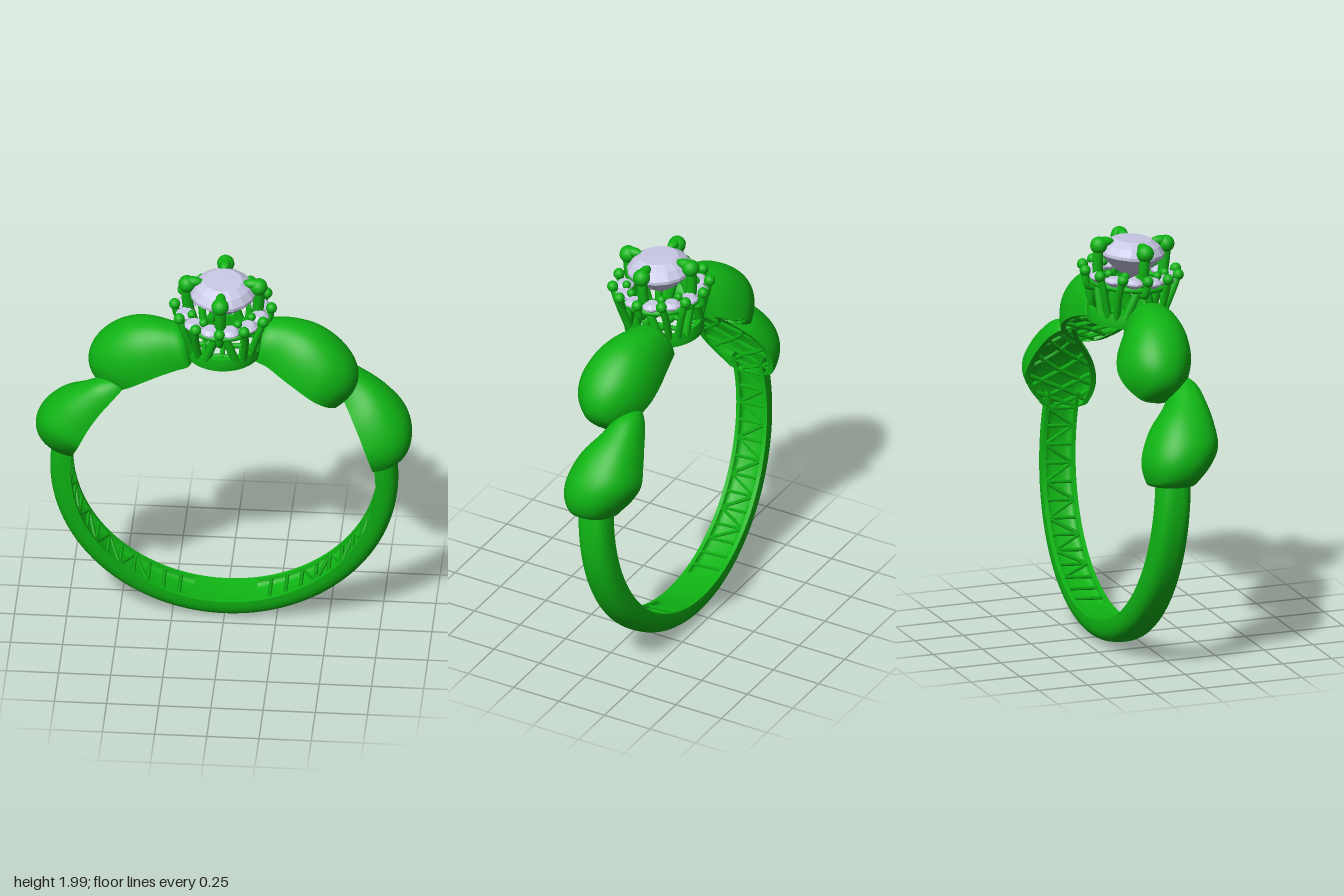
import * as THREE from 'three';
import { toCreasedNormals } from 'three/addons/utils/BufferGeometryUtils.js';

const metal = new THREE.MeshStandardMaterial({ color: 0x0fb414, side: THREE.DoubleSide });
const gem = new THREE.MeshStandardMaterial({ color: 0xc9c9e6, flatShading: true });
const CY = 0.84, RI = 0.73; // ring centre height and finger radius
const rad = THREE.MathUtils.degToRad;

// point on the ring: angle a (degrees from the top), radius r, sideways z
const onRing = (a, r, z) =>
  new THREE.Vector3(r * Math.sin(rad(a)), CY + r * Math.cos(rad(a)), z);
// point around the head axis
const onHead = (a, r, y) =>
  new THREE.Vector3(r * Math.sin(rad(a)), y, r * Math.cos(rad(a)));

function add(parent, name, geometry, material = metal) {
  const mesh = new THREE.Mesh(geometry, material);
  mesh.name = name;
  parent.add(mesh);
  return mesh;
}

function bar(parent, name, points, radius, sides = 8) {
  const curve = new THREE.CatmullRomCurve3(points);
  return add(parent, name, new THREE.TubeGeometry(curve, points.length * 3, radius, sides));
}

function ball(parent, name, position, radius) {
  const mesh = add(parent, name, new THREE.SphereGeometry(radius, 14, 10));
  mesh.position.copy(position);
  return mesh;
}

// smooth sampler through rows of [angle, half width, height, sideways centre]
function profile(rows) {
  const main = new THREE.CatmullRomCurve3(
    rows.map(([a, w, h]) => new THREE.Vector3(a, w, h)), false, 'catmullrom', 0.5);
  const side = new THREE.CatmullRomCurve3(
    rows.map((r) => new THREE.Vector3(r[3], 0, 0)), false, 'catmullrom', 0.5);
  return (t) => {
    const p = main.getPoint(t);
    return { a: p.x, w: Math.max(0, p.y), h: Math.max(0, p.z), z: side.getPoint(t).x };
  };
}

// domed shell along the ring, hollowed from the finger side
function shell(at, steps, power, depth, wall) {
  const N = 28, M = 12, loop = N + M + 2, pos = [], idx = [];
  for (let i = 0; i <= steps; i++) {
    const { a, w, h, z } = at(i / steps);
    const ring = (s, ww, hh, p) => {
      const c = Math.cos(s), n = Math.sin(s);
      const v = onRing(a, RI + hh * Math.pow(Math.abs(n), p),
        z + ww * Math.sign(c) * Math.pow(Math.abs(c), p));
      pos.push(v.x, v.y, v.z);
    };
    for (let j = 0; j <= N; j++) ring(Math.PI * j / N, w, h, power);
    const wi = Math.max(w - wall, w * 0.5), hi = Math.min(depth, h * 0.6);
    for (let j = M; j >= 0; j--) ring(Math.PI * j / M, wi, hi, 0.6);
  }
  for (let i = 0; i < steps; i++) {
    for (let j = 0; j < loop; j++) {
      const k = (j + 1) % loop, p = i * loop, q = p + loop;
      idx.push(p + j, q + j, p + k, q + j, q + k, p + k);
    }
  }
  const g = new THREE.BufferGeometry();
  g.setAttribute('position', new THREE.Float32BufferAttribute(pos, 3));
  g.setIndex(idx);
  return toCreasedNormals(g, 0.7);
}

// lattice bar on the finger side, from (t0, u0) to (t1, u1), u across the width
function latticeBar(parent, at, t0, u0, t1, u1, radius) {
  const points = [];
  for (let i = 0; i <= 4; i++) {
    const f = i / 4, s = at(t0 + (t1 - t0) * f);
    const u = u0 + (u1 - u0) * f;
    points.push(onRing(s.a, RI + radius, s.z + u * Math.max(0, s.w - 0.015)));
  }
  bar(parent, 'latticeBar', points, radius, 4);
}

const upperDrop = [
  [11, 0, 0, -0.035], [12, 0.1, 0.14, -0.035], [17, 0.125, 0.19, -0.03],
  [23, 0.155, 0.225, -0.01], [29, 0.175, 0.242, 0.005], [36, 0.18, 0.235, 0.02],
  [42, 0.155, 0.21, 0.028], [46.5, 0.112, 0.165, 0.03], [49, 0.07, 0.1, 0.03],
  [50, 0, 0, 0.03],
];
const lowerDrop = [
  [39, 0, 0, -0.1], [41, 0.04, 0.05, -0.1], [46, 0.075, 0.1, -0.1],
  [52, 0.105, 0.132, -0.09], [60, 0.155, 0.178, -0.06], [68, 0.182, 0.21, -0.04],
  [74, 0.168, 0.206, -0.015], [79, 0.132, 0.168, 0.005], [81.5, 0.1, 0.11, 0.01],
  [82.5, 0, 0, 0.01],
];
const shankRows = [
  [76, 0.082, 0.103, 0], [130, 0.089, 0.104, 0], [180, 0.095, 0.104, 0],
  [230, 0.089, 0.104, 0], [284, 0.082, 0.103, 0],
];

function drop(parent, name, rows) {
  const g = new THREE.Group(), at = profile(rows);
  g.name = name;
  add(g, 'dropShell', shell(at, 48, 0.9, 0.06, 0.028));
  for (let i = 0; i < 5; i++) {
    const t = 0.12 + i * 0.145;
    latticeBar(g, at, t, -1, t + 0.24, 1, 0.011);
    latticeBar(g, at, t, 1, t + 0.24, -1, 0.011);
  }
  parent.add(g);
}

function buildHead() {
  const head = new THREE.Group();
  head.name = 'head';

  // base collar with a grid across its opening
  const collar = [[0.162, 1.57], [0.188, 1.57], [0.192, 1.6], [0.186, 1.635], [0.164, 1.635], [0.162, 1.57]];
  add(head, 'baseCollar', toCreasedNormals(
    new THREE.LatheGeometry(collar.map((p) => new THREE.Vector2(...p)), 48), 0.6));
  for (const d of [-0.09, 0, 0.09]) {
    const l = Math.sqrt(0.17 ** 2 - d * d);
    bar(head, 'gridBar', [new THREE.Vector3(-l, 1.585, d), new THREE.Vector3(l, 1.585, d)], 0.013, 6);
    bar(head, 'gridBar', [new THREE.Vector3(d, 1.585, -l), new THREE.Vector3(d, 1.585, l)], 0.013, 6);
  }

  // halo seat
  const seat = add(head, 'haloSeat', new THREE.TorusGeometry(0.19, 0.014, 8, 48));
  seat.rotation.x = Math.PI / 2;
  seat.position.y = 1.765;

  // centre stone
  const cut = [[0, 1.775], [0.09, 1.835], [0.158, 1.9], [0.158, 1.915], [0.132, 1.95], [0.092, 1.975], [0, 1.977]];
  add(head, 'centreStone', new THREE.LatheGeometry(cut.map((p) => new THREE.Vector2(...p)), 16), gem);

  // halo stones, beads and struts
  const smallCut = [[0, -0.04], [0.047, -0.004], [0.047, 0.004], [0.028, 0.02], [0, 0.02]]
    .map((p) => new THREE.Vector2(...p));
  for (let i = 0; i < 12; i++) {
    const a = i * 30;
    const stone = add(head, 'haloStone', new THREE.LatheGeometry(smallCut, 12), gem);
    stone.position.copy(onHead(a + 15, 0.182, 1.8));
    const bead = onHead(a, 0.232, 1.822);
    ball(head, 'haloBead', bead, 0.027);
    ball(head, 'innerBead', onHead(a, 0.165, 1.825), 0.021);
    const step = i % 3; // 0 sits at a main prong, 1 and 2 between them
    const foot = a + (step === 1 ? 8 : step === 2 ? -8 : 0);
    const end = step === 0 ? onHead(a, 0.17, 1.74) : onHead(foot, 0.174, 1.615);
    bar(head, 'haloStrut', [bead, onHead((a + foot) / 2, 0.214, 1.75), end], 0.018);
  }

  // main prongs, each on two spread legs
  for (let i = 0; i < 4; i++) {
    const a = i * 90;
    const tip = onHead(a, 0.172, 1.945);
    bar(head, 'prong', [onHead(a, 0.165, 1.79), onHead(a, 0.172, 1.87), tip], 0.027);
    for (const s of [-1, 1]) {
      bar(head, 'prongLeg', [onHead(a, 0.165, 1.83), onHead(a + s * 10, 0.172, 1.74),
        onHead(a + s * 24, 0.175, 1.615)], 0.021);
    }
    ball(head, 'prongTip', tip, 0.042);
    const claw = ball(head, 'prongClaw', onHead(a, 0.145, 1.962), 0.03);
    claw.scale.set(0.85, 0.8, 1.7);
    claw.rotation.y = rad(a);
  }
  return head;
}

export function createModel() {
  const model = new THREE.Group();
  const ring = new THREE.Group();
  ring.name = 'ring';

  // shank with a channel inside, and a plain pad at the bottom
  const shankAt = profile(shankRows);
  add(ring, 'shank', shell(shankAt, 96, 0.72, 0.032, 0.02));
  const padAt = profile([[168, 0.085, 0.05, 0], [174, 0.086, 0.05, 0], [186, 0.086, 0.05, 0], [192, 0.085, 0.05, 0]]);
  add(ring, 'bottomPad', shell(padAt, 12, 0.5, 0.001, 0.02));

  // each side is the other turned half a circle about the upright axis
  for (let k = 0; k < 2; k++) {
    const half = new THREE.Group();
    half.name = k ? 'rightShoulder' : 'leftShoulder';
    half.rotation.y = k * Math.PI;
    drop(half, 'upperDrop', upperDrop);
    drop(half, 'lowerDrop', lowerDrop);
    const step = 0.032;
    for (let i = 0; i < 13; i++) {
      const t = 0.03 + i * step, u = i % 2 ? 1 : -1;
      latticeBar(half, shankAt, t, -1, t, 1, 0.009);
      if (i < 10) latticeBar(half, shankAt, t, u, t + step, -u, 0.009);
    }
    ring.add(half);
  }

  ring.add(buildHead());
  // the whole ring leans slightly forward
  ring.rotation.x = 0.079;
  ring.position.z = -0.135;
  model.add(ring);
  return model;
}
